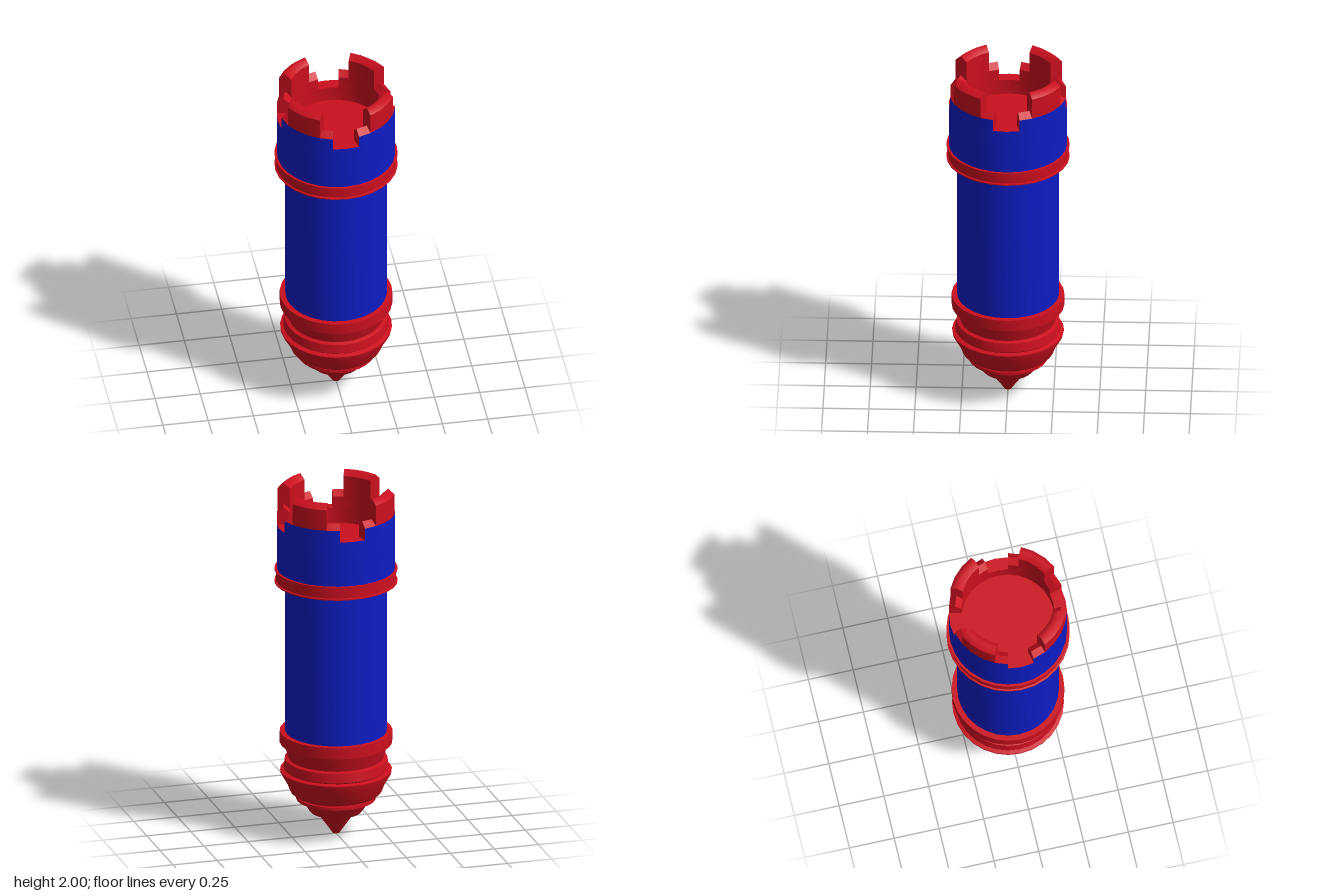
import * as THREE from 'three';
import { mergeGeometries, toCreasedNormals } from 'three/addons/utils/BufferGeometryUtils.js';

const SIDES = 28;
const STEP = (Math.PI * 2) / SIDES;
const R_OUT = 0.322, R_MID = 0.288, R_IN = 0.253;

const red = new THREE.MeshStandardMaterial({ color: 0xcc0f1e, side: THREE.DoubleSide });
const blue = new THREE.MeshStandardMaterial({ color: 0x0d1cc4, side: THREE.DoubleSide });

const points = (list) => list.map(([r, y]) => new THREE.Vector2(r, y));

function part(name, geometry, material) {
  const mesh = new THREE.Mesh(geometry, material);
  mesh.name = name;
  return mesh;
}

// Full turn of a profile, listed from bottom to top
function turned(name, profile, material) {
  const g = new THREE.LatheGeometry(points(profile), SIDES);
  return part(name, toCreasedNormals(g, 0.5), material);
}

// Arc of a profile, from side "start" over "count" sides
function arc(profile, start, count) {
  return new THREE.LatheGeometry(points(profile), count, start * STEP, count * STEP);
}

// Arc with both ends closed by the profile's outline
function block(profile, start, count) {
  const ends = [start, start + count].map((s) =>
    new THREE.ShapeGeometry(new THREE.Shape(points(profile))).rotateY(s * STEP - Math.PI / 2));
  return mergeGeometries([arc(profile, start, count), ...ends]);
}

// Wall section with a ridged top
const ridged = (bottom, eave, ridge) => [
  [R_OUT, bottom], [R_OUT, eave], [R_MID, ridge], [R_IN, eave], [R_IN, bottom],
];

export function createModel() {
  const model = new THREE.Group();

  // Pointed, stepped foot
  model.add(turned('pointedFoot', [
    [0, 0], [0.02, 0.005], [0.04, 0.035], [0.095, 0.112], [0.14, 0.13], [0.155, 0.15],
    [0.188, 0.203], [0.217, 0.203], [0.217, 0.22], [0.2, 0.22], [0.2, 0.235],
    [0.235, 0.237], [0.25, 0.25], [0.265, 0.29], [0.302, 0.355], [0.305, 0.372],
    [0.28, 0.378], [0.287, 0.385], [0.28, 0.437], [0.26, 0.443], [0.285, 0.53],
    [0.307, 0.53], [0.307, 0.595], [0.27, 0.595],
  ], red));

  // Main shaft
  model.add(turned('shaft', [[0.277, 0.58], [0.277, 1.47]], blue));

  // Collar with a thin flange at top and bottom
  model.add(turned('collar', [
    [0.27, 1.46], [0.3, 1.47], [0.315, 1.455], [0.336, 1.455], [0.336, 1.462], [0.327, 1.464],
    [0.327, 1.522], [0.336, 1.524], [0.336, 1.531], [0.31, 1.531],
  ], red));

  // Head drum with its hollow top
  model.add(turned('drum', [[R_OUT, 1.52], [R_OUT, 1.785]], blue));
  model.add(turned('hollowTop', [
    [R_OUT, 1.785], [R_IN, 1.785], [R_IN, 1.7], [0, 1.7],
  ], red));

  // Four stepped battlements
  for (let i = 0; i < 4; i++) {
    const s = i * 7;
    const battlement = new THREE.Group();
    battlement.name = 'battlement';
    const shoulder = ridged(1.785, 1.852, 1.883);
    battlement.add(
      part('shoulder', toCreasedNormals(block(shoulder.slice(1), s + 1, 5), 0.5), red),
      part('shoulderInnerWall', arc(shoulder.slice(3), s + 1, 5), red),
      part('shoulderSkin', arc(shoulder.slice(0, 2), s + 1, 5), blue),
    );
    // End faces of the shoulder below the ridge
    for (const side of [s + 1, s + 6]) {
      const end = new THREE.PlaneGeometry(R_OUT - R_IN, 0.067);
      end.translate((R_OUT + R_IN) / 2, 1.8185, 0).rotateY(side * STEP - Math.PI / 2);
      battlement.add(part('shoulderEnd', end, red));
    }
    // Tall middle merlon with a softly shaded cap
    const wall = [[R_OUT, 1.852], [R_OUT, 1.97], [R_IN, 1.97], [R_IN, 1.852]];
    const cap = ridged(1.852, 1.97, 2).slice(1, 4);
    battlement.add(
      part('merlon', toCreasedNormals(block(wall, s + 2, 3), 0.5), red),
      part('merlonCap', block(cap, s + 2, 3), red),
    );
    model.add(battlement);
  }

  return model;
}
